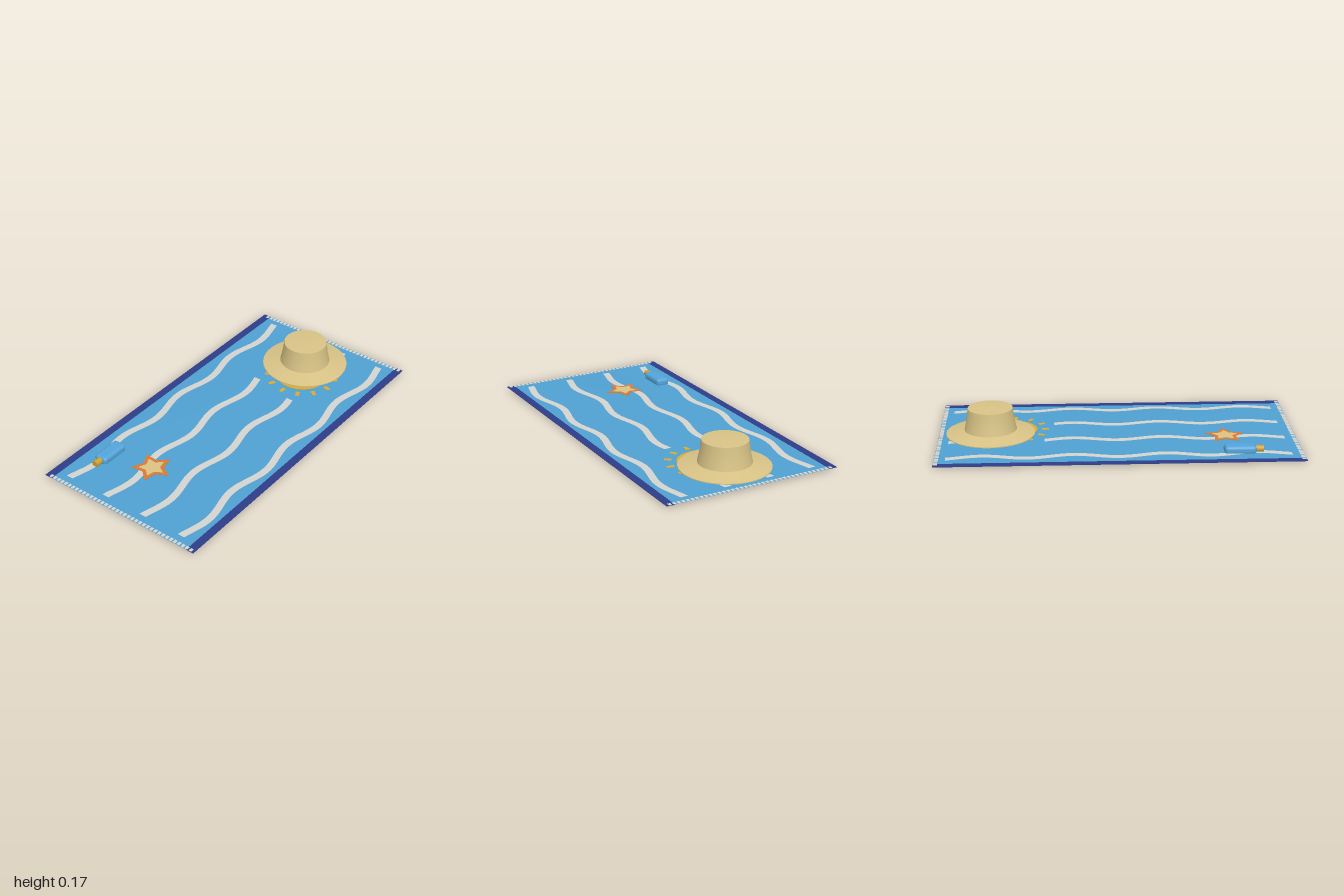
import * as THREE from 'three';
import { mergeGeometries } from 'three/addons/utils/BufferGeometryUtils.js';
import { RoundedBoxGeometry } from 'three/addons/geometries/RoundedBoxGeometry.js';

const material = (name, color, side = THREE.FrontSide) => {
  const m = new THREE.MeshStandardMaterial({ color, side });
  m.name = name;
  return m;
};

// The towel lies almost flat, with a slight rise in the middle
const HALF_W = 0.51;
const towelHeight = (x, z) => 0.0085 + 0.004 * Math.cos(Math.PI * x) * Math.cos(Math.PI * z / 2);

function drape(geometry) {
  const p = geometry.attributes.position;
  for (let i = 0; i < p.count; i++) p.setY(i, p.getY(i) + towelHeight(p.getX(i), p.getZ(i)));
  geometry.computeVertexNormals();
  return geometry;
}

// Thin plate showing on both faces of the towel; points are [x, z]
function plate(points, thickness) {
  const shape = new THREE.Shape(points.map(([x, z]) => new THREE.Vector2(x, z)));
  const g = new THREE.ExtrudeGeometry(shape, { depth: thickness, bevelEnabled: false });
  g.rotateX(Math.PI / 2).translate(0, thickness / 2, 0);
  return drape(g);
}

function starPoints(cx, cz, outer, inner) {
  return Array.from({ length: 10 }, (_, i) => {
    const a = i * Math.PI / 5, r = i % 2 ? inner : outer;
    return [cx + r * Math.cos(a), cz + r * Math.sin(a)];
  });
}

export function createModel() {
  const model = new THREE.Group();
  model.name = 'beachTowelSet';

  const blue = material('towelBlue', 0x4fa0d2, THREE.DoubleSide);
  const white = material('waveWhite', 0xd3d3d0);
  const navy = material('borderNavy', 0x2d3d88);
  const yellow = material('sunYellow', 0xd9ab33);
  const orange = material('starfishOrange', 0xd97a35);
  const sand = material('starfishSand', 0xdcc283);
  const straw = material('hatStraw', 0xd8c386, THREE.DoubleSide);
  const bottleBlue = material('bottleBlue', 0x55a5da);
  const gold = material('capGold', 0xd0a032);

  const add = (parent, name, geometry, mat) => {
    const mesh = new THREE.Mesh(geometry, mat);
    mesh.name = name;
    parent.add(mesh);
    return mesh;
  };
  const group = (name) => {
    const g = new THREE.Group();
    g.name = name;
    model.add(g);
    return g;
  };

  // Towel sheet and side borders
  const towel = group('towel');
  add(towel, 'towelSheet', drape(new THREE.PlaneGeometry(2 * HALF_W, 2, 24, 40).rotateX(-Math.PI / 2)), blue);
  for (const side of [-1, 1]) {
    const border = new THREE.BoxGeometry(0.046, 0.002, 2, 2, 1, 40).translate(side * (HALF_W - 0.023), 0, 0);
    add(towel, side > 0 ? 'leftBorder' : 'rightBorder', drape(border), navy);
  }

  // Fringe threads along both ends
  const threads = [];
  for (const end of [-1, 1]) {
    for (let i = 0; i < 38; i++) {
      threads.push(drape(new THREE.BoxGeometry(0.017, 0.004, 0.022).translate(-0.475 + i * 0.026, 0, end * 0.987)));
    }
  }
  add(towel, 'fringe', mergeGeometries(threads), white);

  // Wavy stripes, left open around the sun
  const sunX = 0.055, sunZ = -0.6, clearing = 0.26;
  const stripe = (x0, from, to) => {
    const steps = Math.max(4, Math.ceil((to - from) / 0.02));
    const a = [], b = [];
    for (let i = 0; i <= steps; i++) {
      const z = from + (to - from) * i / steps;
      const x = x0 - 0.021 * Math.cos(4 * Math.PI * z);
      a.push([x - 0.021, z]);
      b.unshift([x + 0.021, z]);
    }
    return plate([...a, ...b], 0.002);
  };
  const waves = [];
  for (const x0 of [-0.378, -0.121, 0.136, 0.393]) {
    const dx = Math.abs(x0 - sunX);
    if (dx < clearing) {
      const gap = Math.sqrt(clearing ** 2 - dx ** 2);
      waves.push(stripe(x0, -0.94, sunZ - gap), stripe(x0, sunZ + gap, 0.935));
    } else {
      waves.push(stripe(x0, -0.94, 0.935));
    }
  }
  add(towel, 'wavyStripes', mergeGeometries(waves), white);

  // Printed sun with short separate rays
  const disc = Array.from({ length: 40 }, (_, i) => {
    const a = i * Math.PI / 20;
    return [sunX + 0.152 * Math.cos(a), sunZ + 0.152 * Math.sin(a)];
  });
  add(towel, 'sunDisc', plate(disc, 0.003), yellow);
  const rays = [];
  for (let i = 0; i < 13; i++) {
    const a = Math.PI / 2 + i * 2 * Math.PI / 13, c = Math.cos(a), s = Math.sin(a);
    const corners = [[0.178, -0.014], [0.218, -0.01], [0.218, 0.01], [0.178, 0.014]];
    rays.push(plate(corners.map(([r, w]) => [sunX + r * c - w * s, sunZ + r * s + w * c]), 0.003));
  }
  add(towel, 'sunRays', mergeGeometries(rays), yellow);

  // Printed starfish
  add(towel, 'starfishOutline', plate(starPoints(-0.09, 0.605, 0.115, 0.062), 0.004), orange);
  add(towel, 'starfishCentre', plate(starPoints(-0.09, 0.605, 0.075, 0.042), 0.006), sand);

  // Straw hat, made of separate bands to keep the edges crisp
  const hat = group('sunHat');
  hat.position.set(0, 0, -0.71);
  const bands = {
    brimUnderside: [[0.228, 0.007], [0.25, 0.014]],
    brimEdge: [[0.25, 0.014], [0.25, 0.019]],
    brim: [[0.25, 0.019], [0.2, 0.029], [0.147, 0.04]],
    crown: [[0.147, 0.04], [0.137, 0.085], [0.131, 0.125], [0.126, 0.165]],
    crownTop: [[0.126, 0.165], [0.08, 0.168], [0, 0.17]],
  };
  for (const [name, profile] of Object.entries(bands)) {
    add(hat, name, new THREE.LatheGeometry(profile.map(([r, y]) => new THREE.Vector2(r, y)), 48), straw);
  }

  // Lotion bottle lying on its side
  const bottle = group('lotionBottle');
  bottle.position.set(-0.345, 0.0235, 0);
  add(bottle, 'bottleBody', new RoundedBoxGeometry(0.08, 0.047, 0.175, 4, 0.018), bottleBlue).position.z = 0.657;
  add(bottle, 'bottleCap', new THREE.CylinderGeometry(0.019, 0.019, 0.045, 20).rotateX(Math.PI / 2), gold).position.z = 0.763;

  return model;
}
